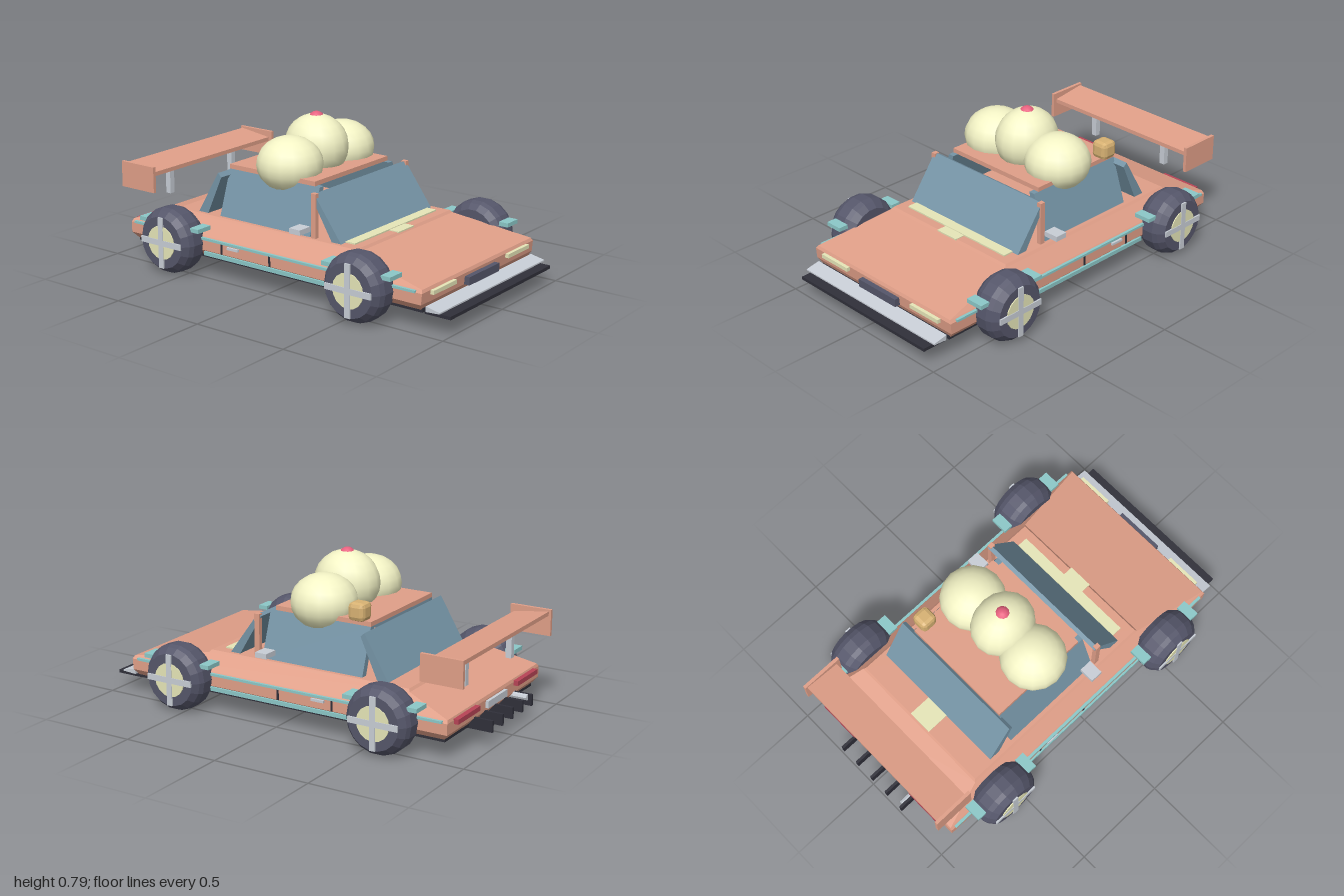
import * as THREE from 'three';
import { RoundedBoxGeometry } from 'three/addons/geometries/RoundedBoxGeometry.js';

const mat = (color, flatShading = true) => new THREE.MeshStandardMaterial({ color, flatShading });
const coral = mat(0xe09f88), blue = mat(0x7695a7), cream = mat(0xe6e6b8), tyre = mat(0x55566a);
const black = mat(0x30303a), teal = mat(0x8cc8c8), grey = mat(0xc8ced6), red = mat(0xb84456);
const gold = mat(0xd8b273), creamSoft = mat(0xf4f4c6, false), pink = mat(0xe8617f, false);

export function createModel() {
  const root = new THREE.Group();
  const add = (name, geo, m, x = 0, y = 0, z = 0, parent = root) => {
    const mesh = new THREE.Mesh(geo, m);
    mesh.name = name;
    mesh.position.set(x, y, z);
    parent.add(mesh);
    return mesh;
  };
  // Box given by its ranges on each axis
  const box = (name, m, x0, x1, y0, y1, z0, z1, parent = root) =>
    add(name, new THREE.BoxGeometry(Math.abs(x1 - x0), y1 - y0, z1 - z0), m,
      (x0 + x1) / 2, (y0 + y1) / 2, (z0 + z1) / 2, parent);
  const shape = pts => new THREE.Shape(pts.map(p => new THREE.Vector2(...p)));
  // (z, y) profile swept across the width
  const across = (pts, w) => new THREE.ExtrudeGeometry(shape(pts), { depth: w, bevelEnabled: false })
    .rotateY(-Math.PI / 2).translate(w / 2, 0, 0);
  // Rectangular rings [halfWidth, back, front, y] joined from bottom to top
  const stack = rings => {
    const pos = [], idx = [], n = rings.length;
    for (const [w, b, f, y] of rings) pos.push(-w, y, f, w, y, f, w, y, b, -w, y, b);
    for (let i = 0; i < n - 1; i++) for (let j = 0; j < 4; j++) {
      const a = i * 4 + j, c = i * 4 + (j + 1) % 4;
      idx.push(a, c, c + 4, a, c + 4, a + 4);
    }
    const t = (n - 1) * 4;
    idx.push(0, 2, 1, 0, 3, 2, t, t + 1, t + 2, t, t + 2, t + 3);
    const g = new THREE.BufferGeometry();
    g.setAttribute('position', new THREE.Float32BufferAttribute(pos, 3));
    g.setIndex(idx);
    const flat = g.toNonIndexed();
    flat.computeVertexNormals();
    return flat;
  };

  // Body and underside
  add('body', stack([[.46, -.88, .855, .105], [.483, -.905, .87, .135], [.483, -.905, .875, .19],
    [.472, -.9, .868, .205], [.405, -.67, .455, .275], [.395, -.66, .445, .287]]), coral);
  box('underbody', black, -.455, .455, .09, .11, -.88, .86);

  // Nose and tail fittings
  box('splitter', black, -.44, .44, .082, .098, .86, 1);
  add('frontBumper', across([[.88, .1], [.955, .105], [.955, .112], [.88, .127]], .92), grey);
  box('frontPlate', tyre, -.13, .13, .135, .175, .86, .9);
  box('rearPlate', grey, -.1, .1, .15, .185, -.92, -.9);
  for (const s of [-1, 1]) {
    box('headlight', cream, s * .225, s * .415, .17, .19, .86, .893);
    box('tailLight', red, s * .2, s * .42, .172, .196, -.928, -.9);
  }
  for (let i = -2; i <= 2; i++)
    box('diffuserFin', black, i * .106 - .007, i * .106 + .007, .083, .14, -1, -.85);
  add('exhaust', new THREE.CylinderGeometry(.016, .016, .1, 8).rotateX(Math.PI / 2), grey, -.2, .125, -.93);

  // Cabin
  add('windshield', across([[.345, .287], [.185, .505], [.165, .495], [.29, .287]], .75), blue);
  add('rearWindow', across([[-.54, .287], [-.48, .287], [-.39, .485], [-.41, .505]], .75), blue);
  box('roof', coral, -.297, .297, .513, .536, -.4, .13);
  box('windshieldTrim', cream, -.34, .34, .284, .294, .345, .4);
  box('hoodTrim', cream, -.065, .065, .284, .291, .4, .455);
  box('rearTrim', cream, -.065, .065, .284, .291, -.66, -.54);
  for (const s of [-1, 1]) {
    add('sideWindow', new THREE.ExtrudeGeometry(
      shape([[s * .375, .287], [s * .297, .513], [s * .265, .513], [s * .34, .287]]),
      { depth: .56, bevelEnabled: false }), blue, 0, 0, -.4);
    box('pillar', coral, s * .358, s * .382, .287, .506, .172, .2);
    box('mirror', grey, s * .365, s * .445, .31, .336, .09, .155);
    // Flank trim
    box('beltStrip', teal, s * .47, s * .49, .188, .2, -.88, .84);
    box('sideSkirt', teal, s * .46, s * .492, .112, .132, -.41, .39);
    box('doorSeam', black, s * .48, s * .486, .135, .188, -.005, .005);
    box('doorSeam', black, s * .48, s * .486, .135, .188, -.305, -.295);
    box('doorHandle', grey, s * .48, s * .495, .17, .182, -.26, -.19);
  }

  // Wheels with hub, cross spokes and arch blocks
  const tyreProfile = [[.001, -.085], [.132, -.085], [.158, -.055], [.168, -.03],
    [.168, .03], [.158, .055], [.132, .085], [.001, .085]].map(p => new THREE.Vector2(...p));
  for (const s of [-1, 1]) for (const z of [.553, -.59]) {
    const wheel = new THREE.Group();
    wheel.name = 'wheel';
    wheel.position.set(s * .515, .168, z);
    root.add(wheel);
    add('tyre', new THREE.LatheGeometry(tyreProfile, 18).rotateZ(Math.PI / 2), tyre, 0, 0, 0, wheel);
    add('hub', new THREE.CylinderGeometry(.086, .086, .02, 16).rotateZ(Math.PI / 2), cream, s * .08, 0, 0, wheel);
    box('spoke', grey, s * .07, s * .093, -.13, .13, -.015, .015, wheel);
    box('spoke', grey, s * .07, s * .093, -.015, .015, -.13, .13, wheel);
    for (const e of [-1, 1])
      box('archBlock', teal, s * .455, s * .547, .237, .258, z + e * .168 - .026, z + e * .168 + .026);
  }

  // Rear wing
  add('wing', across([[-.775, .44], [-.96, .465], [-.96, .486], [-.775, .461]], .92), coral);
  for (const s of [-1, 1]) {
    box('wingEndPlate', coral, s * .455, s * .472, .362, .495, -.972, -.755);
    box('wingStrut', grey, s * .225, s * .255, .295, .458, -.875, -.845);
  }

  // Roof load: three scoops, a cherry and a small block
  const ball = (name, m, x, y, rx, ry, rz, w, h) =>
    add(name, new THREE.SphereGeometry(1, w, h).scale(rx, ry, rz), m, x, y, -.09);
  ball('scoop', creamSoft, 0, .622, .148, .158, .168, 16, 12);
  for (const s of [-1, 1]) ball('scoop', creamSoft, s * .21, .57, .165, .139, .165, 16, 12);
  ball('cherry', pink, 0, .752, .042, .041, .042, 10, 8);
  add('roofBlock', new RoundedBoxGeometry(.09, .09, .09, 1, .022), gold, .29, .58, -.335);

  return root;
}
